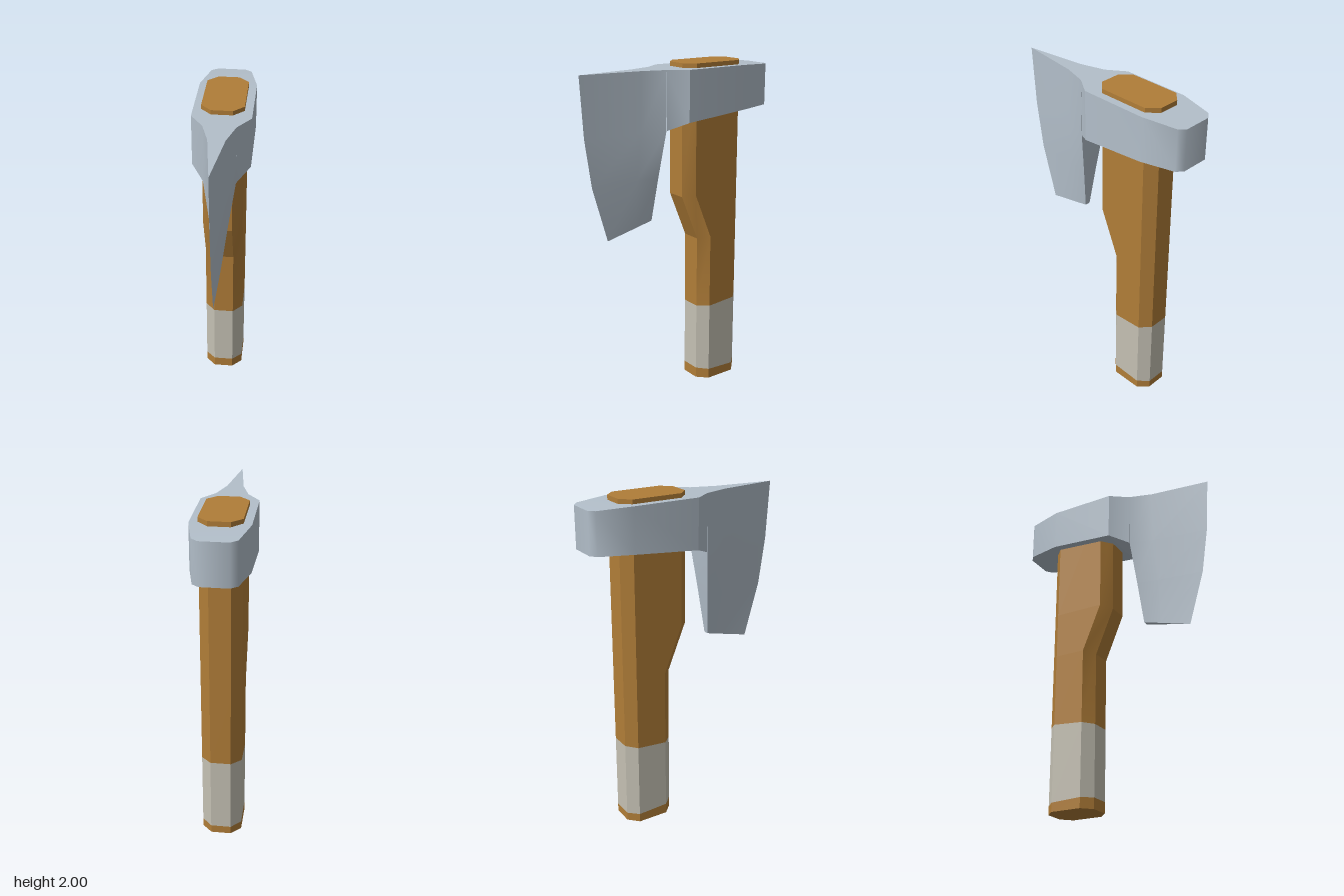
import * as THREE from 'three';
import { mergeGeometries, toCreasedNormals } from 'three/addons/utils/BufferGeometryUtils.js';

// Skin a list of equal-length rings (counter-clockwise seen from the last ring)
function loft(rings, capStart = true, capEnd = true) {
  const pos = [];
  const tri = (a, b, c) => pos.push(...a, ...b, ...c);
  const n = rings[0].length;
  for (let i = 0; i < rings.length - 1; i++) {
    for (let j = 0; j < n; j++) {
      const k = (j + 1) % n;
      const a = rings[i][j], b = rings[i][k], c = rings[i + 1][k], d = rings[i + 1][j];
      tri(a, b, c);
      tri(a, c, d);
    }
  }
  const first = rings[0], last = rings[rings.length - 1];
  for (let j = 1; j < n - 1; j++) {
    if (capStart) tri(first[0], first[j + 1], first[j]);
    if (capEnd) tri(last[0], last[j], last[j + 1]);
  }
  const g = new THREE.BufferGeometry();
  g.setAttribute('position', new THREE.Float32BufferAttribute(pos, 3));
  return g;
}

// Chamfered handle section; y may slope along z
function handleRing(front, yAt) {
  const half = [[0.06, front], [0.118, front - 0.058], [0.118, -0.375], [0.06, -0.432]];
  const mirrored = half.map(([x, z]) => [-x, z]).reverse();
  return [...half, ...mirrored].map(([x, z]) => [x, yAt(z), z]);
}

// Rectangular head section at z
const headRing = ([z, hw, top, bottom]) =>
  [[hw, bottom, z], [hw, top, z], [-hw, top, z], [-hw, bottom, z]];

// Wedge section of the blade: [z, y, half width] at the back and middle, [z, y] at the edge
const bladeRing = ([back, mid, edge]) => [
  [mid[2], mid[1], mid[0]], [back[2], back[1], back[0]],
  [-back[2], back[1], back[0]], [-mid[2], mid[1], mid[0]],
  [0, edge[1], edge[0]],
];

export function createModel() {
  const group = new THREE.Group();
  const material = (name, color) => {
    const m = new THREE.MeshStandardMaterial({ color });
    m.name = name;
    return m;
  };
  const wood = material('wood', 0xb07d38);
  const steel = material('steel', 0xb3bfca);
  const cloth = material('gripCloth', 0xc4c0b3);

  const add = (name, geometry, mat, crease) => {
    const mesh = new THREE.Mesh(toCreasedNormals(geometry, crease), mat);
    mesh.name = name;
    group.add(mesh);
  };

  // Handle: wooden butt, slanted wrap and a shaft that widens below the head
  const low = -0.13, high = -0.015;
  const base = handleRing(low, () => 0);
  const wrapBottom = handleRing(low, (z) => 0.072 + 0.05 * z);
  const wrapTop = handleRing(low, (z) => 0.487 - 0.077 * z);
  const bendLow = handleRing(low, (z) => (z > -0.15 ? 0.94 : 0.955));
  const bendHigh = handleRing(high, (z) => (z > -0.05 ? 1.22 : 1.235));
  const top = handleRing(high, () => 2);
  add('handleButt', loft([base, wrapBottom], true, false), wood, 0.3);
  add('gripWrap', loft([wrapBottom, wrapTop], false, false), cloth, 0.3);
  add('handleShaft', loft([wrapTop, bendLow, bendHigh, top], false, true), wood, 0.3);

  // Head around the handle
  const eyeFront = [0.01, 0.163, 1.975, 1.68];
  const poll = [
    [-0.62, 0.08, 1.963, 1.722],
    [-0.59, 0.118, 1.965, 1.722],
    [-0.39, 0.163, 1.975, 1.715],
    eyeFront,
  ].map(headRing);
  add('axeHead', loft(poll, true, true), steel, 0.75);

  // Neck and bearded blade, from the lower tip up
  const neck = [eyeFront, [0.115, 0.09, 1.975, 1.635]].map(headRing);
  const blade = [
    [[0.175, 1.1, 0.016], [0.28, 1.073, 0.011], [0.467, 1.025]],
    [[0.148, 1.36, 0.05], [0.28, 1.356, 0.029], [0.56, 1.35]],
    [[0.118, 1.635, 0.09], [0.26, 1.633, 0.047], [0.6, 1.63]],
    [[0.115, 1.975, 0.09], [0.26, 1.975, 0.047], [0.62, 1.975]],
  ].map(bladeRing);
  add('blade', mergeGeometries([loft(neck, false, false), loft(blade)]), steel, 0.6);

  return group;
}
